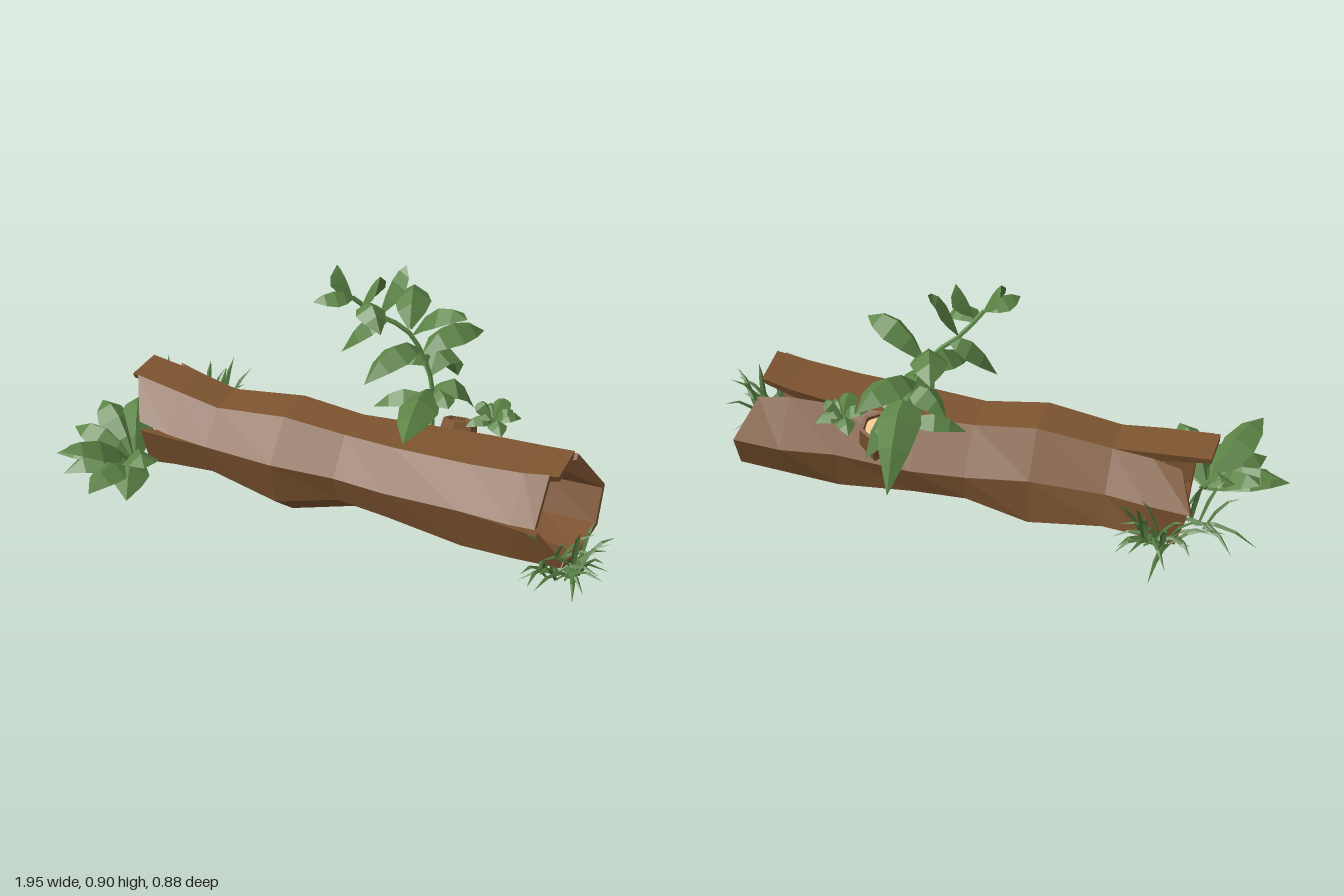
import * as THREE from 'three';

const mat = (name, color) => new THREE.MeshStandardMaterial({ name, color, side: THREE.DoubleSide, flatShading: true });
const V = (x, y, z) => new THREE.Vector3(x, y, z);

function seeded(seed) {
  return () => (seed = (seed * 16807) % 2147483647) / 2147483647;
}

// collects quads and triangles into one flat-shaded mesh
function facets(name, material) {
  const pos = [];
  const tri = (...p) => p.forEach(v => pos.push(v.x, v.y, v.z));
  return {
    tri,
    quad(a, b, c, d) { tri(a, b, c); tri(a, c, d); },
    mesh() {
      const g = new THREE.BufferGeometry();
      g.setAttribute('position', new THREE.Float32BufferAttribute(pos, 3));
      g.computeVertexNormals();
      const m = new THREE.Mesh(g, material);
      m.name = name;
      return m;
    }
  };
}

// log stations: x, topY, midY, lowY, bottomY, midFrontZ, topFrontZ, topBackZ, midBackZ
const STATIONS = [
  [-0.75, 0.395, 0.265, 0.12, 0.07, 0.21, 0.1, -0.06, -0.155],
  [-0.6, 0.375, 0.255, 0.13, 0.06, 0.205, 0.11, -0.04, -0.13],
  [-0.46, 0.355, 0.25, 0.14, 0.045, 0.2, 0.115, -0.02, -0.105],
  [-0.21, 0.388, 0.262, 0.1, 0.005, 0.225, 0.12, -0.03, -0.125],
  [0, 0.365, 0.25, 0.15, 0.05, 0.19, 0.1, -0.04, -0.15],
  [0.18, 0.37, 0.25, 0.14, 0.045, 0.2, 0.11, -0.06, -0.17],
  [0.44, 0.38, 0.262, 0.11, 0.075, 0.205, 0.11, -0.08, -0.17],
  [0.62, 0.397, 0.26, 0.12, 0.075, 0.215, 0.11, -0.08, -0.195],
  [0.76, 0.413, 0.255, 0.13, 0.075, 0.215, 0.11, -0.085, -0.18]
];
const LAST = STATIONS.length - 1;

// seven-sided cross-section of the log at one station
function ring(k, scale = 1) {
  const [x, top, mid, low, bot, fz, tf, tb, bz] = STATIONS[k];
  const bottomZ = k === 3 ? 0.07 : 0.03;
  return [[tf, top], [fz, mid], [fz * 0.83, low], [bottomZ, bot], [-0.13, low - 0.02], [bz, mid - 0.02], [tb, top]]
    .map(([z, y]) => V(x, 0.23 + (y - 0.23) * scale, 0.01 + (z - 0.01) * scale));
}

const INNER = [0.88, 0.74, 0.74, 0.74, 0.74, 0.74, 0.74, 0.74, 0.88];
// x where each stave ends, at its first and second edge
const LEFT_END = [[-0.765, -0.71], [-0.7, -0.69], [-0.69, -0.7], [-0.7, -0.7], [-0.7, -0.74], [-0.75, -0.7], [-0.785, -0.785]];
const RIGHT_END = [[0.705, 0.7], [0.705, 0.78], [0.785, 0.78], [0.78, 0.79], [0.79, 0.79], [0.79, 0.72], [0.725, 0.735]];
// cracks between staves: [inset at first edge, inset at second edge]
const LEFT_GAP = { 0: [0, 0.12], 1: [0.08, 0], 5: [0, 0.2], 6: [0.12, 0] };
const RIGHT_GAP = { 0: [0, 0.08], 1: [0.06, 0], 5: [0, 0.22], 6: [0.15, 0] };

function buildLog(bark, wood) {
  const log = new THREE.Group();
  log.name = 'hollowLog';
  for (let j = 0; j < 7; j++) {
    const f = facets('barkStave', bark);
    const rows = STATIONS.map((s, k) => {
      const gaps = (k < 4 ? LEFT_GAP : RIGHT_GAP)[j] || [0, 0];
      const open = k === 0 || k === LAST ? 1 : k === 1 || k === LAST - 1 ? 0.4 : 0;
      const section = scale => {
        const r = ring(k, scale), a = r[j], b = r[(j + 1) % 7];
        return [a.clone().lerp(b, gaps[0] * open), b.clone().lerp(a, gaps[1] * open)];
      };
      const row = [...section(1), ...section(INNER[k]).reverse()];
      const ends = k === 0 ? LEFT_END[j] : k === LAST ? RIGHT_END[j] : null;
      if (ends) row.forEach((p, i) => { p.x = ends[i === 1 || i === 2 ? 1 : 0]; });
      return row;
    });
    for (let k = 0; k < LAST; k++)
      for (let i = 0; i < 4; i++) {
        const n = (i + 1) % 4;
        f.quad(rows[k][i], rows[k][n], rows[k + 1][n], rows[k + 1][i]);
      }
    f.quad(...rows[0].slice().reverse());
    f.quad(...rows[LAST]);
    log.add(f.mesh());
  }
  // pale heartwood closing each hollow end, leaning back at the top
  for (const k of [1, LAST - 1]) {
    const f = facets('heartwood', wood), r = ring(k, 0.76), side = Math.sign(r[0].x), c = V(side * 0.575, 0.23, 0.01);
    r.forEach(p => { p.x = side * (0.575 - (p.y - 0.23) * 0.4); });
    r.forEach((p, i) => (k === 1 ? f.tri(c, r[(i + 1) % 7], p) : f.tri(c, p, r[(i + 1) % 7])));
    log.add(f.mesh());
  }
  // broken branch stub with a pale recessed core
  const stub = new THREE.Group();
  stub.name = 'branchStub';
  const profile = [[0.075, -0.12], [0.056, 0], [0.043, 0], [0.04, -0.015]].map(p => new THREE.Vector2(...p));
  const shell = new THREE.Mesh(new THREE.LatheGeometry(profile, 6), bark);
  shell.name = 'stubBark';
  const core = new THREE.Mesh(new THREE.CircleGeometry(0.042, 6).rotateX(-Math.PI / 2), wood);
  core.name = 'stubCore';
  core.position.y = -0.012;
  stub.add(shell, core);
  stub.position.set(0.3, 0.37, -0.14);
  stub.rotation.x = -0.4;
  log.add(stub);
  return log;
}

// arched leaf from base to tip whose two halves droop from the midrib
function addLeaf(f, base, tip, width, arch, profile = [0.1, 0.75, 1, 0.72, 0]) {
  const dir = tip.clone().sub(base), side = V(dir.z, 0, -dir.x);
  if (side.length() < 0.02) side.set(1, 0, 0.4);
  side.normalize();
  const normal = dir.clone().normalize().cross(side).normalize();
  if (normal.y < 0) normal.negate();
  const control = base.clone().lerp(tip, 0.45).add(V(0, arch * 2, 0));
  const curve = new THREE.QuadraticBezierCurve3(base, control, tip), n = profile.length - 1;
  const rows = profile.map((w, i) => {
    const m = curve.getPoint(i / n), h = w * width / 2;
    const edge = s => m.clone().addScaledVector(side, s * h).addScaledVector(normal, -h * 0.75);
    return [edge(-1), m, edge(1)];
  });
  for (let i = 0; i < n; i++)
    for (let e = 0; e < 2; e++)
      f.quad(rows[i][e], rows[i][e + 1], rows[i + 1][e + 1], rows[i + 1][e]);
}

// leaves listed as base x,y,z, tip x,y,z, width, arch
function leafMesh(name, material, list) {
  const f = facets(name, material);
  list.forEach(([a, b, c, x, y, z, w, h]) => addLeaf(f, V(a, b, c), V(x, y, z), w, h));
  return f.mesh();
}

// tuft of thin blades fanned around a heading, the upright ones reaching less far
function grass(name, material, [x, y, z], heading, spread, count, seed) {
  const f = facets(name, material), rnd = seeded(seed);
  for (let i = 0; i < count; i++) {
    const a = heading + ((i + rnd()) / count - 0.5) * spread;
    const lift = rnd(), reach = 0.26 - lift * 0.12 - rnd() * 0.09;
    const base = V(x + (rnd() - 0.5) * 0.1, y + rnd() * 0.02, z + (rnd() - 0.5) * 0.06);
    const tip = V(base.x + Math.cos(a) * reach, y - 0.04 + lift * 0.26, base.z + Math.sin(a) * reach);
    addLeaf(f, base, tip, 0.021, 0.04, [0.7, 1, 0.7, 0]);
  }
  return f.mesh();
}

export function createModel() {
  const bark = mat('bark brown', 0x7d5430), wood = mat('pale wood', 0xf0c686);
  const leaf = mat('leaf green', 0x5c8446), blade = mat('grass green', 0x52793f), stemGreen = mat('stem green', 0x64914f);
  const model = new THREE.Group();
  model.name = 'fallenLog';
  model.add(buildLog(bark, wood));

  // tall plant growing from the top of the log
  const plant = new THREE.Group();
  plant.name = 'tallPlant';
  const path = new THREE.CatmullRomCurve3([
    V(0.2, 0.32, -0.14), V(0.19, 0.45, -0.16), V(0.16, 0.57, -0.15), V(0.11, 0.67, -0.12), V(0.03, 0.73, -0.07), V(-0.03, 0.8, -0.02)]);
  const stem = new THREE.Mesh(new THREE.TubeGeometry(path, 10, 0.008, 5), stemGreen);
  stem.name = 'stem';
  plant.add(stem, leafMesh('tallPlantLeaves', leaf, [
    [0.19, 0.45, -0.155, 0.23, 0.425, 0.16, 0.13, 0.06],
    [0.18, 0.5, -0.16, 0.16, 0.34, -0.445, 0.14, 0.125],
    [0.2, 0.4, -0.16, 0.29, 0.335, -0.28, 0.12, 0.1],
    [0.19, 0.4, -0.15, 0.01, 0.37, -0.09, 0.1, 0.06],
    [0.19, 0.42, -0.15, 0.29, 0.45, -0.06, 0.1, 0.05],
    [0.16, 0.58, -0.15, 0.28, 0.58, -0.37, 0.13, 0.07],
    [0.17, 0.54, -0.15, 0.04, 0.49, -0.2, 0.11, 0.06],
    [0.15, 0.6, -0.14, 0.05, 0.545, 0.065, 0.12, 0.07],
    [0.13, 0.65, -0.13, 0.33, 0.765, -0.1, 0.12, 0.07],
    [0.12, 0.67, -0.13, 0.05, 0.7, -0.33, 0.12, 0.075],
    [0.06, 0.71, -0.09, -0.08, 0.58, -0.04, 0.11, 0.06],
    [0.04, 0.73, -0.07, 0.11, 0.9, -0.12, 0.1, 0.04],
    [0, 0.77, -0.04, 0.1, 0.73, 0.05, 0.1, 0.05],
    [-0.03, 0.8, -0.02, -0.085, 0.905, -0.02, 0.09, 0.015],
    [-0.03, 0.8, -0.02, -0.12, 0.81, 0.08, 0.09, 0.03],
    [0, 0.78, -0.03, 0.06, 0.89, -0.03, 0.09, 0.015]
  ]));
  model.add(plant);

  // little sprout beside the branch stub
  const sprout = [];
  for (let i = 0; i < 8; i++) {
    const a = i * 0.82, r = i % 2 ? 0.11 : 0.08;
    sprout.push([0.41, 0.375, -0.15, 0.41 + r * 0.8 * Math.cos(a), i % 2 ? 0.385 : 0.43, -0.15 + r * Math.sin(a), 0.065, 0.04]);
  }
  model.add(leafMesh('sproutLeaves', leaf, sprout));

  // broad-leaved plant beside the front of the log
  const tips = [
    [-1, 0.12, 0.27], [-0.93, 0.24, 0.07], [-0.82, 0.25, 0.01], [-0.9, 0.13, 0.38], [-0.77, 0.12, 0.44],
    [-0.6, 0.22, 0.36], [-0.67, 0.08, 0.37], [-0.87, 0.25, 0.43], [-0.97, 0.19, 0.19]];
  model.add(leafMesh('broadLeaves', leaf, tips.map(t => [-0.74, 0.1, 0.19, ...t, 0.125, 0.07])));

  // grass tufts at the ends
  model.add(
    grass('backGrass', blade, [-0.64, 0.1, -0.14], -1.75, 3, 20, 11),
    grass('leftGrass', blade, [-0.74, 0.15, -0.06], -2.8, 1.4, 7, 29),
    grass('rightGrass', blade, [0.77, 0.08, 0.15], 0.75, 3.7, 22, 47));
  return model;
}
